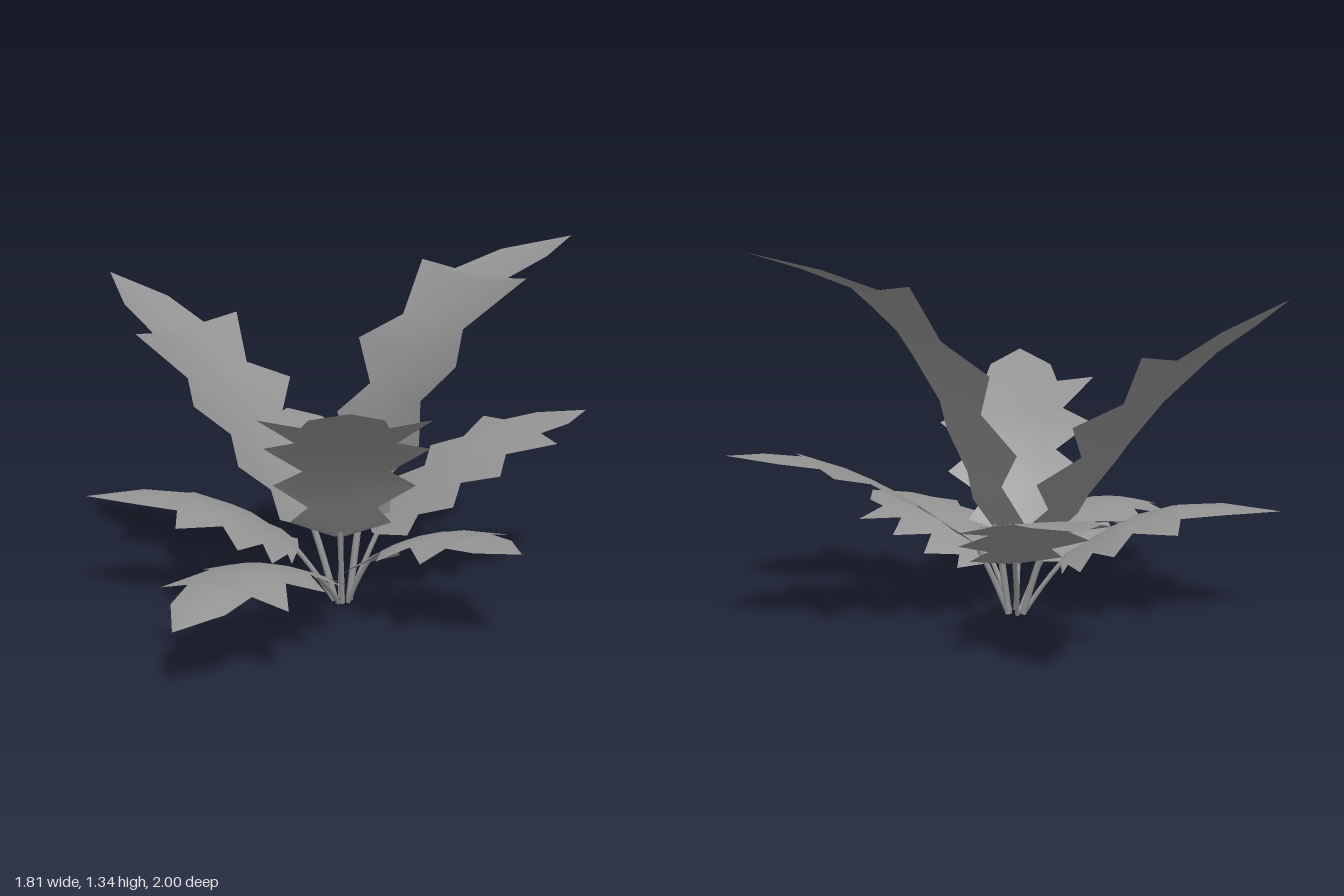
import * as THREE from 'three';

const V = (p) => new THREE.Vector3(...p);
const ROOT = V([0.1, 0, -0.075]);

// Half outline of a blade: [position along the midrib, half width], pointed lobes then a tip
const OUTLINE = [
  [0, 0.06], [0.06, 0.64], [0.15, 0.43], [0.24, 0.88], [0.34, 0.53], [0.44, 1],
  [0.54, 0.6], [0.7, 1], [0.715, 0.5], [0.85, 0.42], [1, 0],
];

// Midrib of each leaf from blade start to tip, with half width and cup (edges up when positive);
// crowd above 1 moves the lobes toward the blade start
const LEAVES = [
  { name: 'tallLeafRight', w: 0.35, cup: 0.06,
    rib: [[-0.01, 0.27, -0.1], [-0.27, 0.62, -0.15], [-0.56, 0.93, -0.215], [-0.91, 1.18, -0.28]] },
  { name: 'tallLeafLeft', w: 0.38, cup: 0.05,
    rib: [[0.14, 0.3, -0.13], [0.3, 0.87, -0.28], [0.5, 1.17, -0.43], [0.82, 1.33, -0.72]] },
  { name: 'frontUprightLeaf', w: 0.29, cup: 0.04,
    rib: [[0.11, 0.27, 0], [0.2, 0.59, 0.22], [0.26, 0.76, 0.46], [0.36, 0.89, 0.75]] },
  { name: 'frontLowLeaf', w: 0.25, cup: -0.05,
    rib: [[0.07, 0.15, 0.12], [0, 0.28, 0.43], [-0.07, 0.295, 0.72], [-0.14, 0.215, 1]] },
  { name: 'leftLowLeaf', w: 0.25, cup: -0.04, crowd: 1.2,
    rib: [[0.2, 0.17, -0.02], [0.41, 0.31, 0.05], [0.61, 0.35, 0.15], [0.83, 0.35, 0.29]] },
  { name: 'rightLowLeaf', w: 0.26, cup: -0.04, crowd: 1.7,
    rib: [[-0.06, 0.2, -0.04], [-0.34, 0.36, 0.06], [-0.58, 0.4, 0.11], [-0.83, 0.39, 0.16]] },
  { name: 'backLeaf', w: 0.26, cup: -0.01,
    rib: [[0.06, 0.22, -0.22], [-0.1, 0.41, -0.5], [-0.25, 0.5, -0.75], [-0.42, 0.53, -1]] },
  { name: 'backLeftLeaf', w: 0.28, cup: -0.01,
    rib: [[0.2, 0.25, -0.15], [0.45, 0.48, -0.35], [0.65, 0.6, -0.53], [0.9, 0.65, -0.74]] },
];

// Sweeps the outline along the midrib, five vertices across each row
function bladeGeometry(midrib, side, halfWidth, cup, crowd) {
  const pos = [], index = [];
  OUTLINE.forEach(([s, w], i) => {
    const t = s ** crowd;
    const centre = midrib.getPointAt(t);
    const normal = midrib.getTangentAt(t).cross(side).normalize();
    for (let j = -2; j <= 2; j++) {
      const across = (j / 2) * w;
      const v = centre.clone()
        .addScaledVector(side, across * halfWidth)
        .addScaledVector(normal, across * across * cup);
      pos.push(v.x, v.y, v.z);
    }
    if (i === 0) return;
    for (let j = 0; j < 4; j++) {
      const a = (i - 1) * 5 + j, b = a + 1, c = a + 5, d = a + 6;
      index.push(a, c, b, b, c, d);
    }
  });
  const geo = new THREE.BufferGeometry();
  geo.setAttribute('position', new THREE.Float32BufferAttribute(pos, 3));
  geo.setIndex(index);
  geo.computeVertexNormals();
  return geo;
}

function makeLeaf({ name, w, cup, crowd = 1, rib }, material) {
  const leaf = new THREE.Group();
  leaf.name = name;
  const midrib = new THREE.CatmullRomCurve3(rib.map(V));
  const along = V(rib[3]).sub(ROOT).setY(0).normalize();
  const side = new THREE.Vector3(0, 1, 0).cross(along);

  const blade = new THREE.Mesh(bladeGeometry(midrib, side, w, cup, crowd), material);
  blade.name = 'blade';

  // Thin, nearly straight stalk from a ring around the root to the blade start
  const foot = ROOT.clone().addScaledVector(along, 0.03);
  const top = midrib.getPointAt(0.03);
  const bend = foot.clone().lerp(top, 0.5);
  bend.y += 0.02;
  const path = new THREE.QuadraticBezierCurve3(foot, bend, top);
  const stalk = new THREE.Mesh(new THREE.TubeGeometry(path, 6, w * 0.036, 6), material);
  stalk.name = 'stalk';

  leaf.add(blade, stalk);
  return leaf;
}

export function createModel() {
  const plant = new THREE.Group();
  plant.name = 'plant';
  const material = new THREE.MeshStandardMaterial({ color: 0x949494, side: THREE.DoubleSide });
  for (const spec of LEAVES) plant.add(makeLeaf(spec, material));
  return plant;
}
